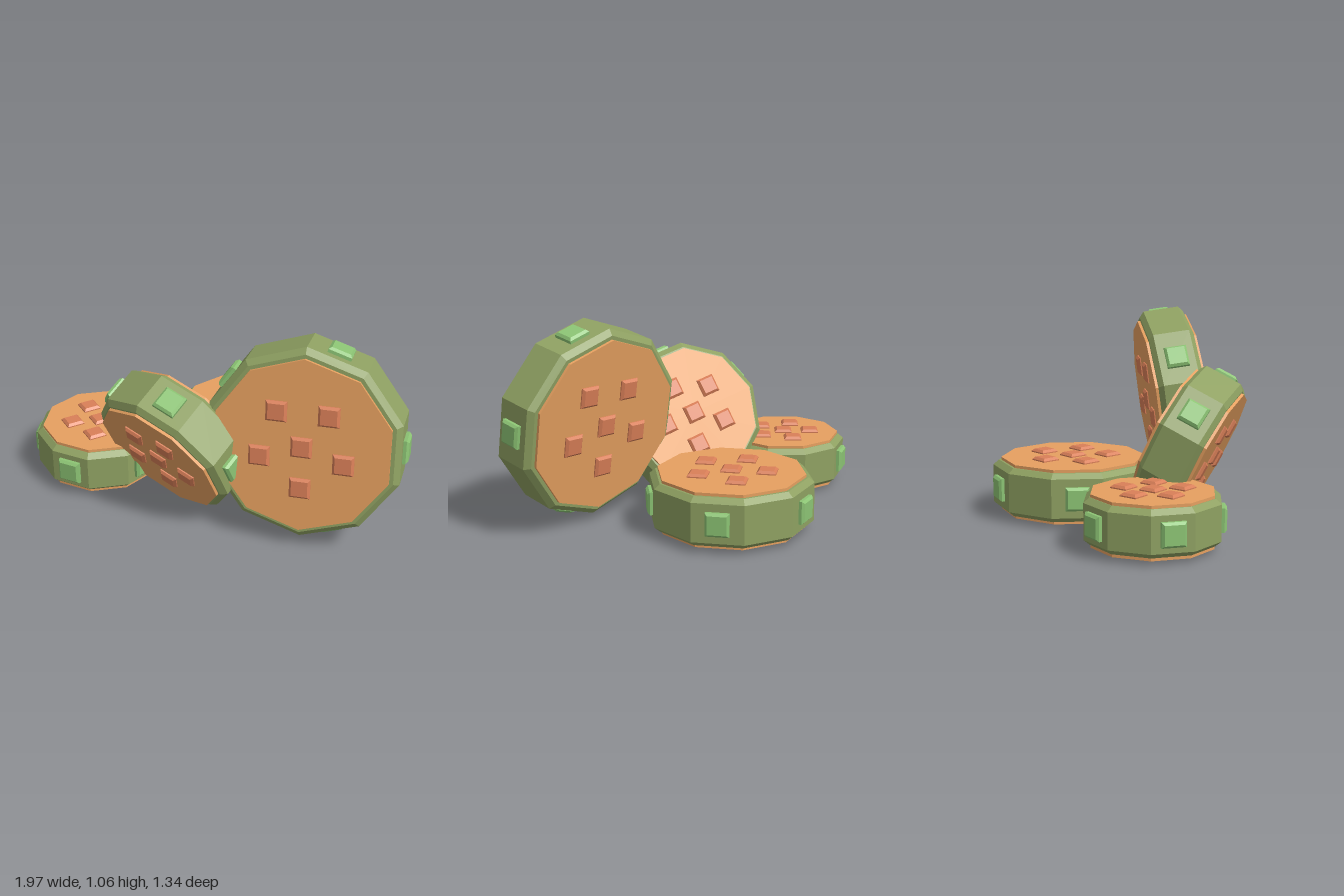
import * as THREE from 'three';

const mat = (color) => new THREE.MeshStandardMaterial({ color, flatShading: true });

// Bevelled square pad lying in the xy plane, its top at z = top
function padGeometry(size, top) {
  const bevel = 0.012, s = size / 2 - bevel, depth = 0.03;
  const shape = new THREE.Shape([
    new THREE.Vector2(-s, -s), new THREE.Vector2(s, -s),
    new THREE.Vector2(s, s), new THREE.Vector2(-s, s),
  ]);
  const geo = new THREE.ExtrudeGeometry(shape, {
    depth, bevelEnabled: true, bevelSize: bevel, bevelThickness: bevel, bevelSegments: 1,
  });
  return geo.translate(0, 0, top - depth - bevel);
}

// Ten-sided disc with its axis along local z
function createDisc(name, radius, half, mats) {
  const disc = new THREE.Group();
  disc.name = name;
  const add = (part, geo, material) => {
    const mesh = new THREE.Mesh(geo, material);
    mesh.name = part;
    disc.add(mesh);
    return mesh;
  };

  // Chamfered rim
  const h = half - 0.033, c = 0.025;
  const profile = [[0, -h], [radius - 0.03, -h], [radius, c - h], [radius, h - c], [radius - 0.03, h], [0, h]]
    .map(([x, y]) => new THREE.Vector2(x, y));
  add('rim', new THREE.LatheGeometry(profile, 10).rotateX(Math.PI / 2), mats.rim);

  // Face plate standing slightly proud on both sides
  const plate = half - 0.018;
  add('facePlate', new THREE.CylinderGeometry(radius * 0.9, radius * 0.9, plate * 2, 10).rotateX(Math.PI / 2), mats.face);

  // One central pad and a ring of five on each face
  const pad = padGeometry(0.07 + 0.07 * radius, half);
  for (const flip of [0, Math.PI]) {
    for (let i = 0; i < 6; i++) {
      const a = THREE.MathUtils.degToRad(54 + 72 * i), r = i < 5 ? radius * 0.435 : 0;
      const mesh = add('facePad', pad, mats.pad);
      mesh.position.set(r * Math.cos(a), r * Math.sin(a), 0);
      mesh.rotation.y = flip;
    }
  }

  // Five blocks on alternate flats of the rim
  const apothem = radius * Math.cos(Math.PI / 10);
  const block = padGeometry(0.12, apothem + 0.028).rotateY(Math.PI / 2);
  for (let i = 0; i < 5; i++) add('rimBlock', block, mats.block).rotation.z = i * Math.PI * 0.4;

  return disc;
}

// Turn a disc so its axis follows normal and its first rim block points along xDir
function place(disc, position, normal, xDir) {
  const z = new THREE.Vector3(...normal).normalize();
  const y = new THREE.Vector3().crossVectors(z, new THREE.Vector3(...xDir)).normalize();
  const x = new THREE.Vector3().crossVectors(y, z);
  disc.quaternion.setFromRotationMatrix(new THREE.Matrix4().makeBasis(x, y, z));
  disc.position.set(...position);
  return disc;
}

export function createModel() {
  const model = new THREE.Group();
  model.name = 'discPile';
  const mats = { rim: mat(0x8fa162), face: mat(0xe6a060), pad: mat(0xd97f58), block: mat(0x8cc474) };
  const flat = (deg) => {
    const a = THREE.MathUtils.degToRad(deg);
    return [Math.cos(a), 0, -Math.sin(a)];
  };

  model.add(
    place(createDisc('uprightDisc', 0.5, 0.157, mats), [0.478, 0.548, 0.437], [-0.195, 0.134, 0.972], [1, 0, 0]),
    place(createDisc('leaningDisc', 0.4, 0.157, mats), [-0.19, 0.408, 0.29], [-0.53, -0.44, 0.73], [0, 0.85, 0.52]),
    place(createDisc('largeFlatDisc', 0.425, 0.159, mats), [0.175, 0.16, -0.235], [0, -1, 0], flat(23)),
    place(createDisc('smallFlatDisc', 0.342, 0.148, mats), [-0.635, 0.149, -0.07], [0, -1, 0], flat(33)),
  );
  return model;
}
